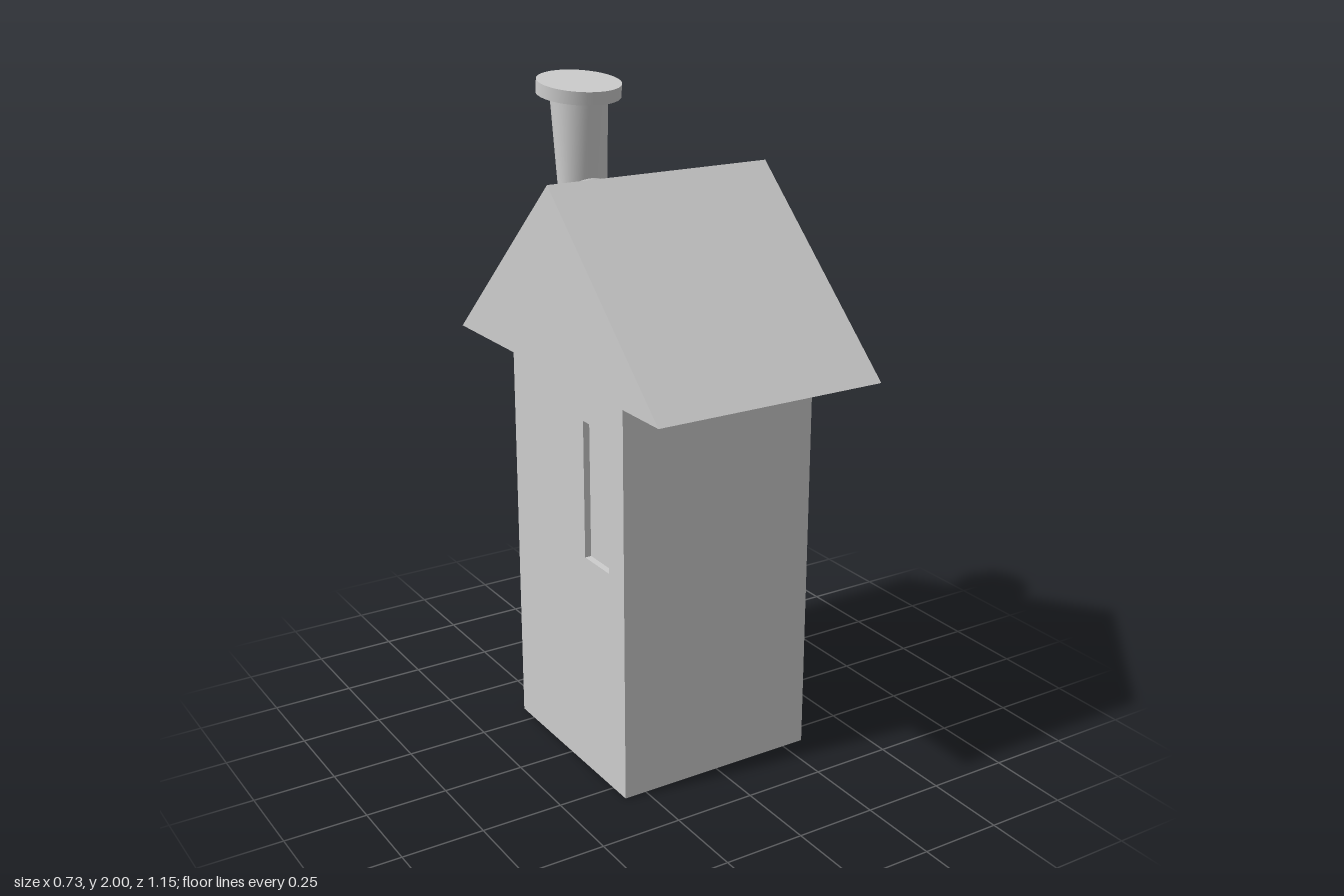
import * as THREE from 'three';
import { toCreasedNormals } from 'three/addons/utils/BufferGeometryUtils.js';

// Rectangle corners, u running towards -z and v upwards
function rect(u0, u1, v0, v1) {
  return [[u0, v0], [u1, v0], [u1, v1], [u0, v1]].map(([u, v]) => new THREE.Vector2(u, v));
}

// Extrude an outline (with an optional hole) along x, starting at x0
function extrudeX(outline, hole, x0, depth) {
  const shape = new THREE.Shape(outline);
  if (hole) shape.holes.push(new THREE.Path(hole));
  const g = new THREE.ExtrudeGeometry(shape, { depth, bevelEnabled: false });
  return g.rotateY(Math.PI / 2).translate(x0, 0, 0);
}

const CHIMNEY_X = -0.03;

// Round pipe between two tilted rings; (hy, hz) is the ring's front half-axis
function pipe(low, high) {
  const g = new THREE.CylinderGeometry(1, 1, 1, 40, 1, true);
  const p = g.attributes.position;
  for (let i = 0; i < p.count; i++) {
    const ring = p.getY(i) > 0 ? high : low;
    const s = p.getX(i), c = p.getZ(i);
    p.setXYZ(i, CHIMNEY_X + ring.r * s, ring.y + ring.hy * c, ring.z + ring.hz * c);
  }
  return toCreasedNormals(g, 0.6);
}

export function createModel() {
  const group = new THREE.Group();
  const stone = new THREE.MeshStandardMaterial({ color: 0xcccccc });
  stone.name = 'light grey';
  const add = (name, geometry) => {
    const mesh = new THREE.Mesh(geometry, stone);
    mesh.name = name;
    group.add(mesh);
    return mesh;
  };

  // Tower body, with a thin wall on the -x side that holds the recessed window
  const W = 0.32, H = 1.235, recess = 0.02;
  add('towerBody', new THREE.BoxGeometry(2 * W - recess, H, 2 * W).translate(recess / 2, H / 2, 0));
  add('windowWall', extrudeX(rect(-W, W, 0, H), rect(-0.236, -0.10, 0.69, 1.11), -W, recess));

  // Gable roof with its ridge along x
  const gable = [[-0.575, H], [0.575, H], [0, 1.77]].map(([u, v]) => new THREE.Vector2(u, v));
  add('roof', extrudeX(gable, null, -0.365, 0.73));

  // Door with a raised frame on the +x side
  add('doorFrame', extrudeX(rect(-0.105, 0.105, 0.01, 0.413), rect(-0.085, 0.085, 0.03, 0.393), W, 0.015));
  add('doorPanel', extrudeX(rect(-0.085, 0.085, 0.03, 0.393), null, W, 0.003));

  // Bent chimney pipe, rising out of the back slope
  const root = { y: 1.48, z: -0.2225, hy: 0.055, hz: 0.0525, r: 0.08 };
  const elbow = { y: 1.645, z: -0.3925, hy: 0.055, hz: 0.0525, r: 0.08 };
  const mouth = { y: 1.944, z: -0.413, hy: -0.0125, hz: 0.0875, r: 0.088 };
  add('chimneyLower', pipe(root, elbow));
  add('chimneyUpper', pipe(elbow, mouth));

  // Tilted chimney cap
  const cap = add('chimneyCap', new THREE.CylinderGeometry(0.129, 0.129, 0.04, 40));
  cap.position.set(CHIMNEY_X, 1.962, -0.411);
  cap.rotation.x = 0.14;

  return group;
}
